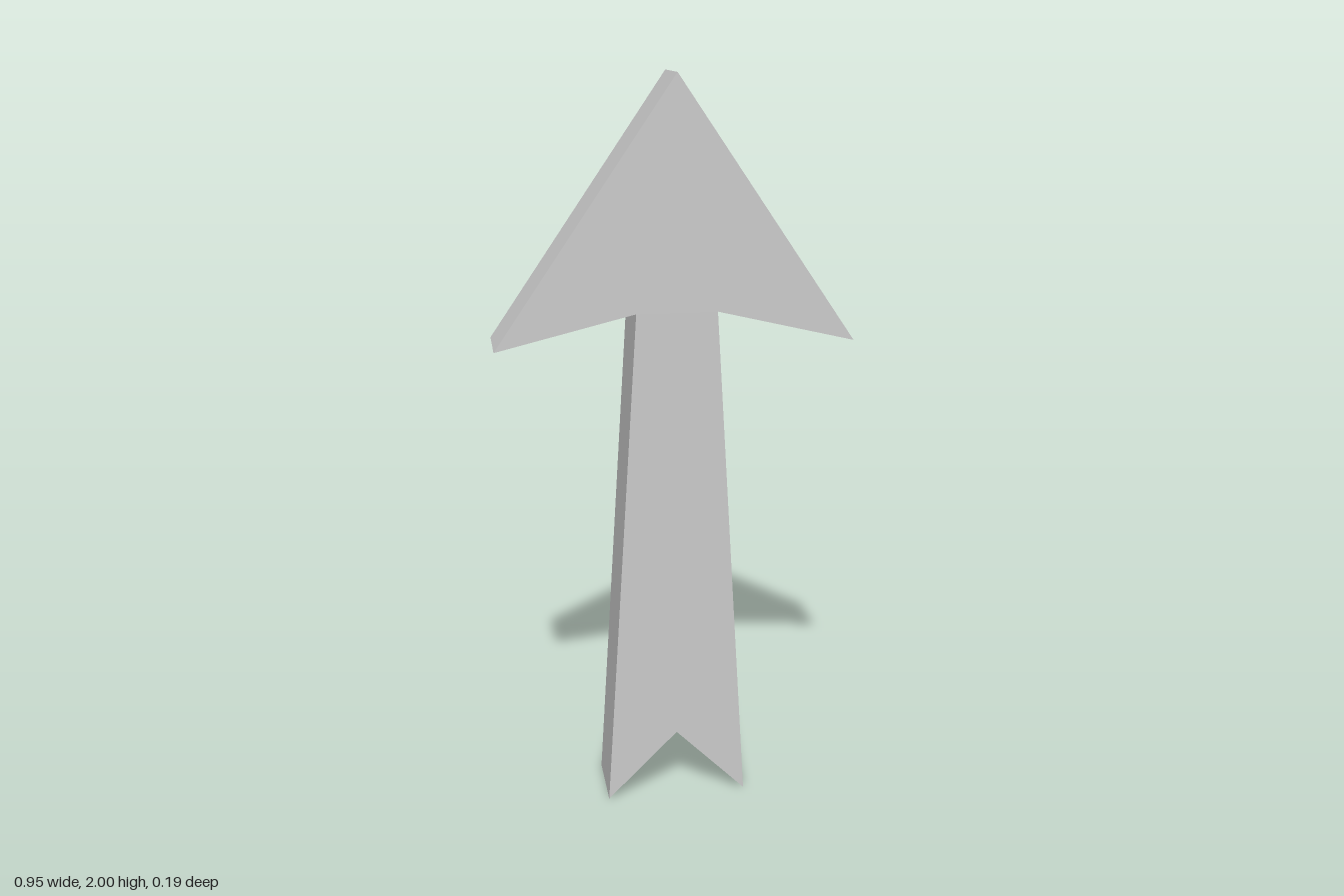
import * as THREE from 'three';

export function createModel() {
  const group = new THREE.Group();
  group.name = 'arrow';
  const depth = 0.19;

  // Right half of the outline, from the tail notch up to the tip
  const half = [[0, 0.195], [0.195, 0], [0.107, 1.4], [0.474, 1.312], [0, 2]];
  const mirrored = half.slice(1, -1).reverse().map(([x, y]) => [-x, y]);
  const outline = [...half, ...mirrored].map(([x, y]) => new THREE.Vector2(x, y));

  // Flat arrow plate with a notched, flared shaft and swept-back barbs
  const geometry = new THREE.ExtrudeGeometry(new THREE.Shape(outline), {
    depth, bevelEnabled: false,
  });
  geometry.translate(0, 0, -depth / 2);

  const material = new THREE.MeshStandardMaterial({ color: 0xcccccc, flatShading: true });
  const arrow = new THREE.Mesh(geometry, material);
  arrow.name = 'arrowBody';
  group.add(arrow);
  return group;
}
